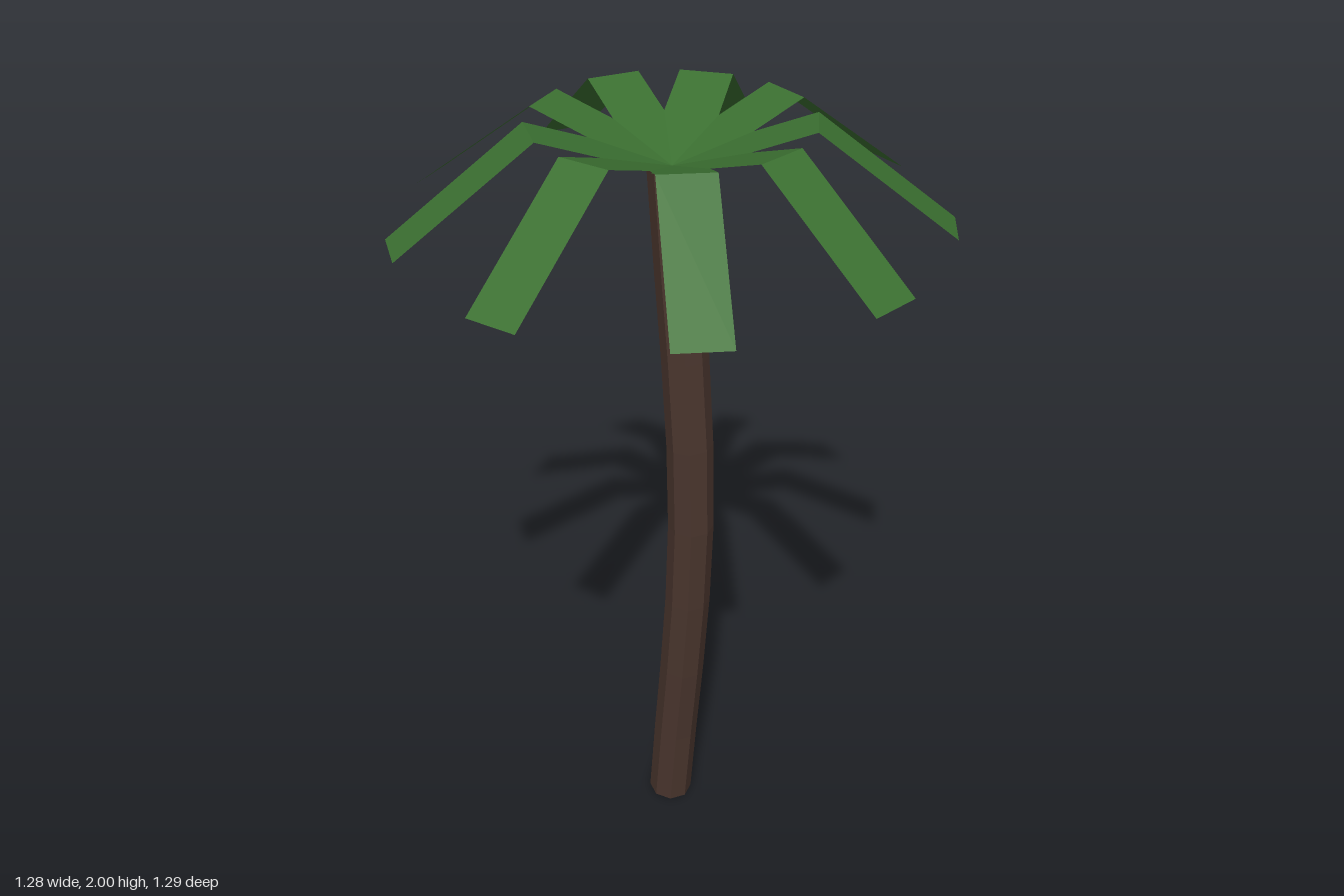
import * as THREE from 'three';

const bark = new THREE.MeshStandardMaterial({ color: 0x49352d, flatShading: true });
bark.name = 'bark brown';
const leaf = new THREE.MeshStandardMaterial({ color: 0x3b7031, flatShading: true, side: THREE.DoubleSide });
leaf.name = 'leaf green';

const TRUNK_RADIUS = 0.058;
const FROND_WIDTH = 0.13;
const FROND_COUNT = 9;
// Frond profile: [distance from the crown centre, height above it]
const FROND_PROFILE = [[0, 0], [0.323, 0.11], [0.646, -0.13]];

// A flat strip bent once, running out along +x
function frondGeometry() {
  const g = new THREE.PlaneGeometry(1, FROND_WIDTH, FROND_PROFILE.length - 1, 1);
  g.rotateX(-Math.PI / 2);
  const p = g.attributes.position;
  for (let i = 0; i < p.count; i++) {
    const [r, h] = FROND_PROFILE[i % FROND_PROFILE.length];
    p.setX(i, r);
    p.setY(i, h);
  }
  g.computeVertexNormals();
  return g;
}

export function createModel() {
  const model = new THREE.Group();
  model.name = 'palmTree';

  // Curved eight-sided trunk
  const path = new THREE.CatmullRomCurve3([
    new THREE.Vector3(-0.018, 0.005, 0),
    new THREE.Vector3(0.057, 0.98, 0),
    new THREE.Vector3(-0.009, 1.89, 0),
  ]);
  const trunk = new THREE.Group();
  trunk.name = 'trunk';
  const stem = new THREE.Mesh(new THREE.TubeGeometry(path, 8, TRUNK_RADIUS, 8, false), bark);
  stem.name = 'trunkStem';
  trunk.add(stem);

  // Trunk end caps, square to the curve
  for (const [t, sign, name] of [[0, -1, 'trunkBase'], [1, 1, 'trunkTop']]) {
    const cap = new THREE.Mesh(new THREE.CircleGeometry(TRUNK_RADIUS, 8), bark);
    cap.name = name;
    cap.position.copy(path.getPointAt(t));
    cap.lookAt(cap.position.clone().addScaledVector(path.getTangentAt(t), sign));
    trunk.add(cap);
  }
  model.add(trunk);

  // Crown of bent fronds radiating from the trunk top
  const crown = new THREE.Group();
  crown.name = 'crown';
  crown.position.copy(path.getPointAt(1));
  const geometry = frondGeometry();
  for (let i = 0; i < FROND_COUNT; i++) {
    const frond = new THREE.Mesh(geometry, leaf);
    frond.name = `frond${i + 1}`;
    frond.rotation.y = (i / FROND_COUNT) * Math.PI * 2;
    crown.add(frond);
  }
  model.add(crown);

  return model;
}
